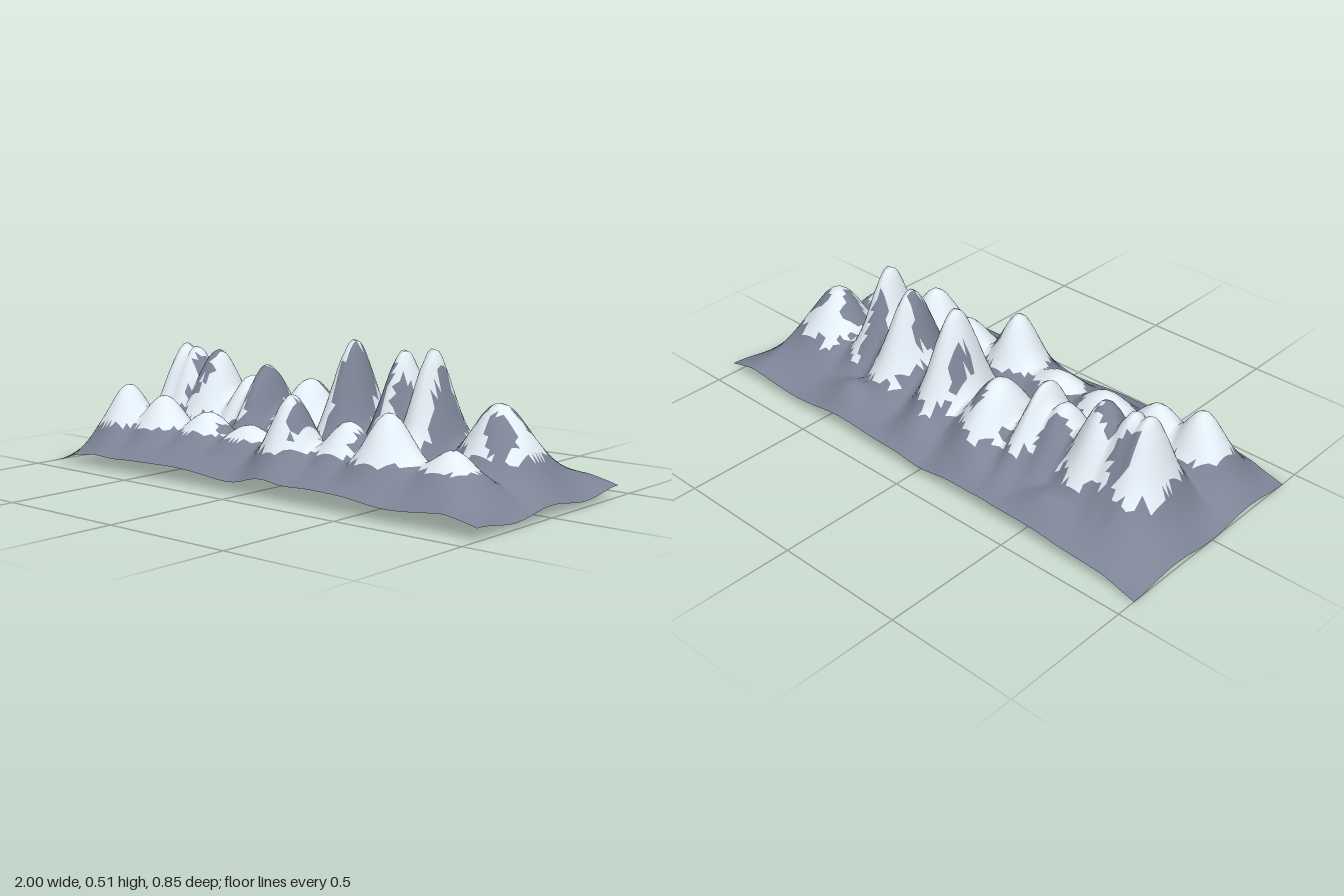
import * as THREE from 'three';

const WIDTH = 2, DEPTH = 0.845, COLS = 100, ROWS = 44;

// Peaks: x, z, summit height, spread along x, spread along z
const peaks = [
  // back range
  [-0.775, -0.08, 0.45, 0.054, 0.10], [-0.715, -0.085, 0.43, 0.068, 0.10],
  [-0.605, -0.095, 0.43, 0.078, 0.10], [-0.425, -0.10, 0.335, 0.06, 0.10],
  [-0.335, -0.10, 0.39, 0.046, 0.11], [-0.16, -0.15, 0.345, 0.072, 0.11],
  [0.085, -0.10, 0.515, 0.058, 0.10], [0.33, -0.09, 0.485, 0.063, 0.10],
  [0.487, -0.035, 0.50, 0.056, 0.095], [0.74, -0.07, 0.34, 0.085, 0.095],
  // front range
  [-0.77, 0.23, 0.30, 0.068, 0.085], [-0.60, 0.19, 0.275, 0.08, 0.085],
  [-0.38, 0.17, 0.24, 0.08, 0.08], [-0.16, 0.195, 0.205, 0.075, 0.075],
  [0.09, 0.25, 0.335, 0.06, 0.085], [0.30, 0.17, 0.27, 0.07, 0.08],
  [0.49, 0.20, 0.31, 0.068, 0.085], [0.755, 0.20, 0.205, 0.06, 0.07],
  // foothills behind
  [0.42, -0.32, 0.145, 0.07, 0.05], [-0.55, -0.32, 0.135, 0.08, 0.05],
  [0.08, -0.31, 0.155, 0.06, 0.06], [-0.18, -0.29, 0.17, 0.07, 0.06],
];

// Bare rock showing through the snow: x, z, radius x, radius z
const bareRock = [
  [-0.63, -0.06, 0.06, 0.08], [-0.30, -0.04, 0.045, 0.11], [0.135, -0.04, 0.05, 0.13],
  [0.27, -0.03, 0.05, 0.09], [0.40, 0.00, 0.04, 0.06], [0.45, -0.17, 0.05, 0.08],
  [0.56, -0.03, 0.045, 0.10], [0.66, -0.07, 0.05, 0.05], [0.80, -0.12, 0.05, 0.04],
  [0.80, 0.0, 0.05, 0.04], [-0.46, -0.19, 0.06, 0.07], [-0.74, -0.19, 0.04, 0.05],
  [-0.12, -0.20, 0.03, 0.05], [0.02, -0.16, 0.02, 0.06], [0.21, -0.16, 0.03, 0.07],
  [0.14, 0.24, 0.025, 0.07], [0.37, 0.20, 0.02, 0.07], [-0.28, 0.17, 0.03, 0.06],
];

const hash = (a, b) => {
  const s = Math.sin(a * 127.1 + b * 311.7) * 43758.5453;
  return s - Math.floor(s);
};

const bellCurve = (t) => Math.exp(-0.5 * t * t);

// Two long swells, one under each range, meeting in a creased valley
const swellAt = (z) => Math.max(
  0.125 * bellCurve((z + 0.1) / (z < -0.1 ? 0.2 : 0.16)),
  0.115 * bellCurve((z - 0.21) / (z > 0.21 ? 0.13 : 0.105)),
);

function heightAt(x, z) {
  // gently rolling ground, with a longer wave on the right-hand end
  const wave = Math.cos((x + 0.33) * (x < -0.33 ? 4.69 : 9.67));
  const ground = 0.02 + 0.01 * x + 0.011 * wave * Math.cos(z * 15);
  // everything dies out at the two ends
  const ends = Math.min(1, (1 - Math.abs(x)) / 0.13);
  // the highest bell wins, leaving a crease between neighbouring peaks
  let bell = 0;
  for (const [px, pz, top, sx, sz] of peaks) {
    const d = Math.hypot((x - px) / sx, (z - pz) / sz);
    bell = Math.max(bell, (top - 0.02 - swellAt(pz)) * bellCurve(d));
  }
  // soft gullies down the slopes
  const gully = 1 + 0.03 * Math.sin(x * 41 + z * 9) * Math.sin(z * 23 + x * 5);
  return ground + (swellAt(z) + bell * gully) * ends;
}

function isSnow(x, y, z, cellX, cellZ) {
  // a ragged snow line, patchier on the back range
  const patchy = z < 0.1 ? 0.05 * hash(cellX >> 1, (cellZ >> 1) + 50) : 0;
  if (y < 0.155 + 0.006 * hash(cellX, 3) + patchy) return false;
  const jitter = 0.5 + hash(cellX >> 1, cellZ >> 1);
  return !bareRock.some(([rx, rz, a, b]) =>
    ((x - rx) / a) ** 2 + ((z - rz) / b) ** 2 < jitter);
}

export function createModel() {
  const model = new THREE.Group();
  model.name = 'mountainRange';

  // Height field
  const terrain = new THREE.PlaneGeometry(WIDTH, DEPTH, COLS, ROWS).rotateX(-Math.PI / 2);
  const pos = terrain.attributes.position;
  for (let i = 0; i < pos.count; i++) pos.setY(i, heightAt(pos.getX(i), pos.getZ(i)));
  terrain.computeBoundingBox();
  terrain.translate(0, -terrain.boundingBox.min.y, 0);
  terrain.computeVertexNormals();

  // Sort the triangles into snow and rock
  const snow = [], rock = [];
  const index = terrain.index.array;
  for (let t = 0; t < index.length; t += 3) {
    const tri = [index[t], index[t + 1], index[t + 2]];
    const mean = (get) => tri.reduce((sum, v) => sum + get(v), 0) / 3;
    const x = mean((v) => pos.getX(v));
    const y = mean((v) => pos.getY(v));
    const z = mean((v) => pos.getZ(v));
    const cell = Math.floor(t / 6);
    const snowy = isSnow(x, y, z, cell % COLS, Math.floor(cell / COLS));
    (snowy ? snow : rock).push(...tri);
  }

  const addSurface = (name, triangles, color) => {
    const geometry = new THREE.BufferGeometry();
    geometry.setAttribute('position', terrain.attributes.position);
    geometry.setAttribute('normal', terrain.attributes.normal);
    geometry.setIndex(triangles);
    const material = new THREE.MeshStandardMaterial({ color, side: THREE.DoubleSide });
    const mesh = new THREE.Mesh(geometry, material);
    mesh.name = name;
    model.add(mesh);
  };
  addSurface('rockSlopes', rock, 0x7c8496);
  addSurface('snowCaps', snow, 0xe4eef6);

  return model;
}
